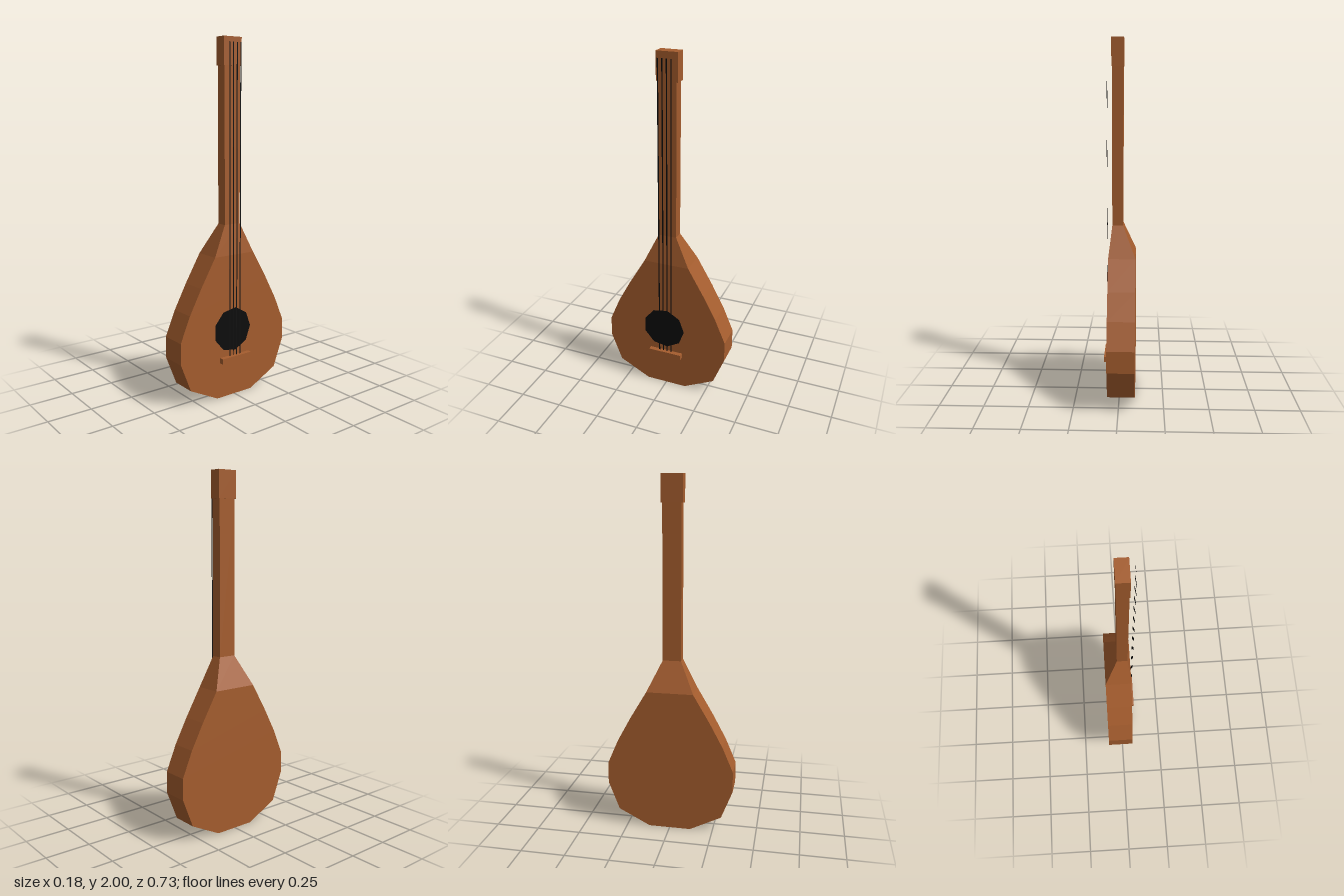
import * as THREE from 'three';

export function createModel() {
  const model = new THREE.Group();
  const wood = new THREE.MeshStandardMaterial({ color: 0xa55d2e, flatShading: true });
  const black = new THREE.MeshStandardMaterial({ color: 0x0c0c0c, side: THREE.DoubleSide });

  function add(name, geometry, material, x = 0, y = 0, z = 0) {
    const mesh = new THREE.Mesh(geometry, material);
    mesh.name = name;
    mesh.position.set(x, y, z);
    model.add(mesh);
    return mesh;
  }

  // Box given by its limits in x and y and its half width in z
  function addBox(name, x0, x1, y0, y1, halfZ) {
    return add(name, new THREE.BoxGeometry(x1 - x0, y1 - y0, halfZ * 2), wood, (x0 + x1) / 2, (y0 + y1) / 2);
  }

  // Pear-shaped body: rectangular cross-sections [y, half width, back x, face x]
  const sections = [
    [0, 0.12, -0.09, 0.06],
    [0.092, 0.3, -0.09, 0.06],
    [0.255, 0.363, -0.09, 0.06],
    [0.377, 0.363, -0.09, 0.06],
    [0.52, 0.302, -0.09, 0.06],
    [0.66, 0.227, -0.09, 0.06],
    [0.82, 0.133, -0.09, 0.06],
    [0.99, 0.052, -0.02, 0.04],
  ];
  const positions = [];
  const index = [];
  for (const [y, w, x0, x1] of sections) {
    positions.push(x1, y, w, x1, y, -w, x0, y, -w, x0, y, w);
  }
  for (let s = 0; s < sections.length - 1; s++) {
    for (let i = 0; i < 4; i++) {
      const a = s * 4 + i;
      const b = s * 4 + ((i + 1) % 4);
      index.push(a, b, b + 4, a, b + 4, a + 4);
    }
  }
  const top = (sections.length - 1) * 4;
  index.push(0, 2, 1, 0, 3, 2, top, top + 1, top + 2, top, top + 2, top + 3);
  const body = new THREE.BufferGeometry();
  body.setAttribute('position', new THREE.Float32BufferAttribute(positions, 3));
  body.setIndex(index);
  body.computeVertexNormals();
  add('body', body, wood);

  // Neck, head and bridge
  addBox('neck', -0.02, 0.04, 0.99, 1.85, 0.052);
  addBox('head', -0.023, 0.043, 1.85, 2, 0.06);
  addBox('bridge', 0.06, 0.087, 0.205, 0.237, 0.1);

  // Sound hole, a nine-sided dark disc on the face
  const hole = add('soundHole', new THREE.CircleGeometry(0.127, 9), black, 0.063, 0.39, 0.015);
  hole.rotation.y = Math.PI / 2;

  // Four flat strings standing just off the face
  for (const z of [0.039, 0.015, -0.009, -0.033]) {
    const string = add('string', new THREE.PlaneGeometry(0.007, 1.735), black, 0.07, 1.1025, z);
    string.rotation.y = Math.PI / 2;
  }

  return model;
}
